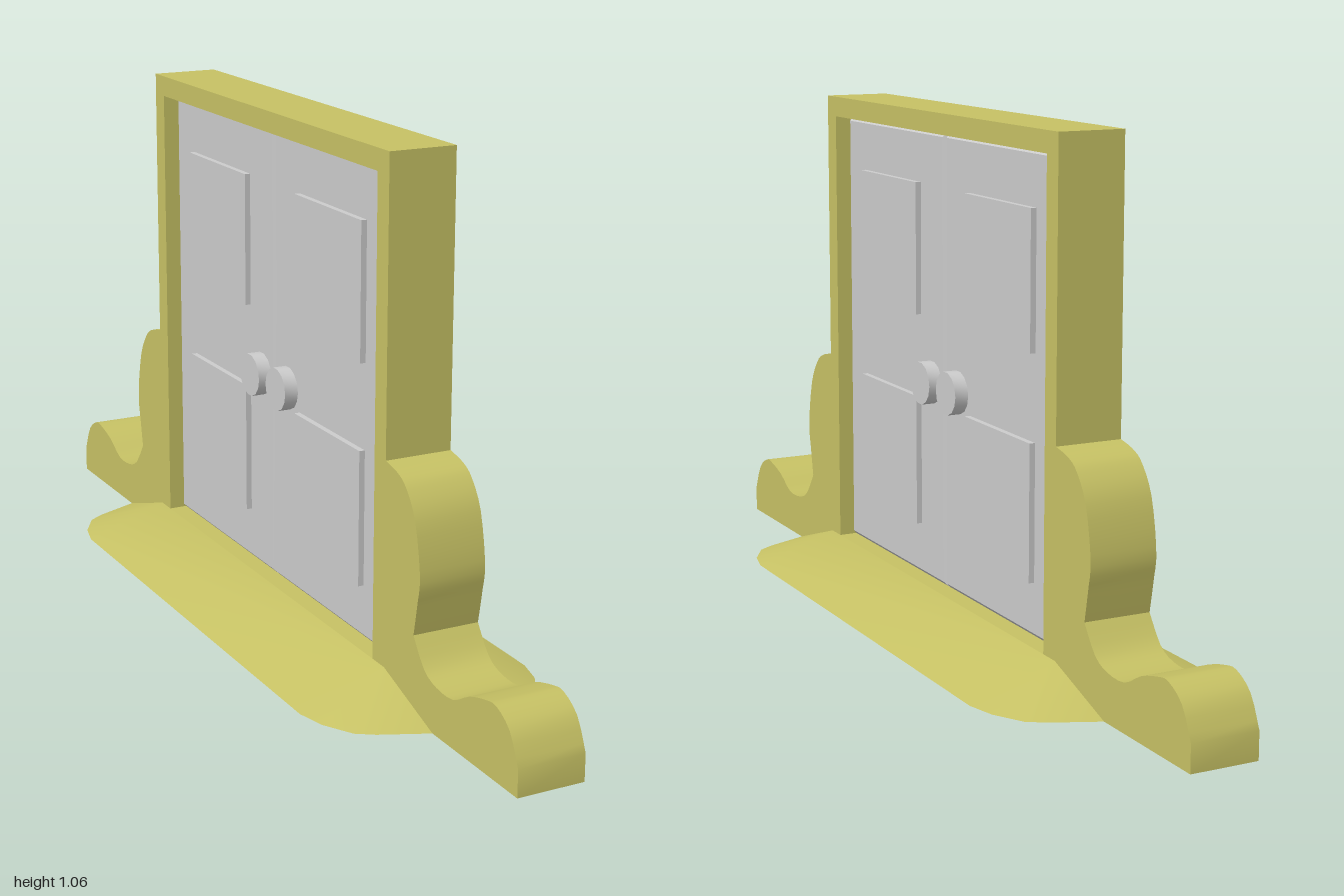
import * as THREE from 'three';
import { toCreasedNormals } from 'three/addons/utils/BufferGeometryUtils.js';

const HALF = 0.07; // half thickness of the frame

export function createModel() {
  const model = new THREE.Group();
  const olive = new THREE.MeshStandardMaterial({ color: 0xc6c164 });
  const grey = new THREE.MeshStandardMaterial({ color: 0xcccccc });

  const add = (name, geometry, material, x = 0, y = 0, z = 0) => {
    const mesh = new THREE.Mesh(geometry, material);
    mesh.name = name;
    mesh.position.set(x, y, z);
    model.add(mesh);
    return mesh;
  };
  const smoothLine = (points, n) =>
    new THREE.SplineCurve(points.map(([u, v]) => new THREE.Vector2(u, v))).getPoints(n);
  const rectangle = (u0, v0, u1, v1) => [[u0, v0], [u1, v0], [u1, v1], [u0, v1]]
    .map(([u, v]) => new THREE.Vector2(u, v));
  // Extrudes a (z, y) outline along x, centred on x = 0
  const extrudeAcross = (shape, depth, bevel = 0) => {
    const g = new THREE.ExtrudeGeometry(shape, {
      depth: depth - 2 * bevel, bevelEnabled: bevel > 0, bevelSize: bevel,
      bevelThickness: bevel, bevelOffset: -bevel, bevelSegments: 1,
    });
    g.translate(0, 0, bevel - depth / 2);
    return g.rotateY(-Math.PI / 2);
  };

  // Door frame with a scrolled foot at each end
  const upperScroll = smoothLine([[0.523, 0.475], [0.567, 0.465], [0.6, 0.445], [0.635, 0.39],
    [0.655, 0.29], [0.647, 0.23], [0.635, 0.167]], 20);
  const lowerScroll = smoothLine([[0.635, 0.167], [0.675, 0.115], [0.72, 0.096], [0.78, 0.096],
    [0.835, 0.125], [0.89, 0.141], [0.925, 0.143], [0.97, 0.115], [1, 0.055]], 24);
  const side = [new THREE.Vector2(0.523, 1.058), ...upperScroll, ...lowerScroll.slice(1),
    new THREE.Vector2(1, 0)];
  const mirrored = side.map((p) => new THREE.Vector2(-p.x, p.y)).reverse();
  const outline = new THREE.Shape([...side, ...mirrored]);
  outline.holes.push(new THREE.Path(rectangle(-0.48, 0.06, 0.48, 1.015)));
  add('doorFrame', toCreasedNormals(extrudeAcross(outline, 2 * HALF), 0.6), olive);

  // Sloping base: each corner of the raised sill fans out to a rounded ground edge
  const corner = [[0.25, 0.525], [0.235, 0.585], [0.2, 0.645], [0.165, 0.668], [0.07, 0.71]];
  const rim = [];
  for (const [sx, sz] of [[1, 1], [-1, 1], [-1, -1], [1, -1]]) {
    const arc = corner.map(([x, z]) => ({
      low: [sx * x, 0, sz * z], high: [sx * HALF, 0.06, sz * 0.525],
    }));
    rim.push(...(sx * sz > 0 ? arc : arc.reverse()));
  }
  const positions = [];
  rim.forEach((a, i) => {
    const b = rim[(i + 1) % rim.length];
    positions.push(...a.low, ...a.high, ...b.low);
    if (a.high[0] !== b.high[0] || a.high[2] !== b.high[2]) {
      positions.push(...a.high, ...b.high, ...b.low);
    }
    positions.push(0, 0, 0, ...a.low, ...b.low);
  });
  const base = new THREE.BufferGeometry();
  base.setAttribute('position', new THREE.Float32BufferAttribute(positions, 3));
  add('slopedBase', toCreasedNormals(base, 0.5), olive);

  // Pair of bevelled doors, each with raised panels and round knobs on both faces
  const face = 0.04;
  for (const s of [1, -1]) {
    const door = new THREE.Shape(rectangle(-0.24, 0.06, 0.24, 1.015));
    add(s > 0 ? 'leafFront' : 'leafBack', extrudeAcross(door, 2 * face, 0.01), grey, 0, 0, s * 0.24);
    for (const x of [1, -1]) {
      for (const y of [0.312, 0.765]) {
        add('raisedPanel', new THREE.BoxGeometry(0.024, 0.278, 0.275), grey, x * face, y, s * 0.25);
      }
      const knob = new THREE.CylinderGeometry(0.045, 0.045, 0.03, 14).rotateZ(Math.PI / 2);
      add('knob', toCreasedNormals(knob, 0.6), grey, x * (face + 0.014), 0.49, s * 0.06);
    }
  }
  return model;
}
